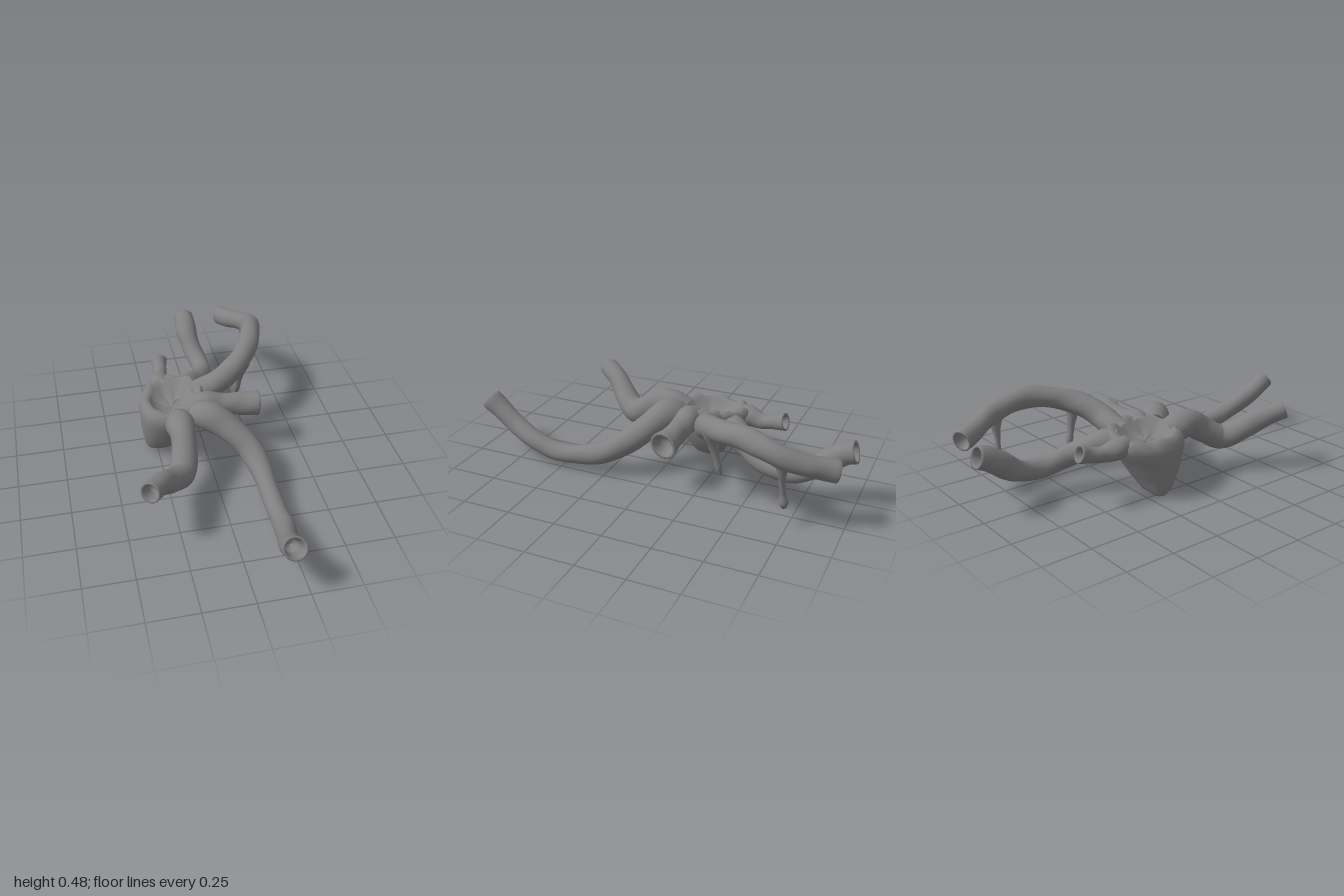
import * as THREE from 'three';

const SIDES = 24;
const material = new THREE.MeshStandardMaterial({ color: 0x808080, side: THREE.DoubleSide });

// Skin a list of closed rings (each an array of SIDES points) into a smooth mesh.
function loft(name, rings) {
  const positions = [], index = [];
  for (const ring of rings) for (const p of ring) positions.push(p.x, p.y, p.z);
  for (let j = 0; j < rings.length - 1; j++) {
    for (let i = 0; i < SIDES; i++) {
      const a = j * SIDES + i, b = j * SIDES + (i + 1) % SIDES;
      const c = b + SIDES, d = a + SIDES;
      index.push(a, b, d, b, c, d);
    }
  }
  const geometry = new THREE.BufferGeometry();
  geometry.setAttribute('position', new THREE.Float32BufferAttribute(positions, 3));
  geometry.setIndex(index);
  geometry.computeVertexNormals();
  const mesh = new THREE.Mesh(geometry, material);
  mesh.name = name;
  return mesh;
}

// Tapering branch along stations [x, y, z, radius]; its root is open, its tip hollow or rounded.
function branch(name, stations, hollow = true) {
  const curve = new THREE.CatmullRomCurve3(stations.map(s => new THREE.Vector3(s[0], s[1], s[2])));
  const radii = new THREE.SplineCurve(stations.map((s, i) => new THREE.Vector2(i, s[3])));
  const steps = stations.length * 6;
  const frames = curve.computeFrenetFrames(steps, false);
  const ringAt = (k, scale) => {
    const u = k / steps, centre = curve.getPointAt(u);
    const r = radii.getPoint(curve.getUtoTmapping(u)).y * scale;
    return Array.from({ length: SIDES }, (_, i) => {
      const a = i / SIDES * Math.PI * 2;
      const rr = r * (1 + 0.045 * Math.sin(2 * a + k * 0.12) * Math.sin(k * 0.37));
      return centre.clone()
        .addScaledVector(frames.normals[k], Math.cos(a) * rr)
        .addScaledVector(frames.binormals[k], Math.sin(a) * rr);
    });
  };
  const rings = [];
  for (let k = 0; k <= steps; k++) rings.push(ringAt(k, 1));
  if (hollow) {
    // thin lip, then the bore running back inside
    rings.push(ringAt(steps, 0.9), ringAt(steps, 0.8));
    for (let k = 1; k <= 5; k++) rings.push(ringAt(steps - k, 0.78 - k * 0.04));
    rings.push(ringAt(steps - 6, 0.01));
  } else {
    rings.push(ringAt(steps, 0.6), ringAt(steps, 0.01));
  }
  return loft(name, rings);
}

// Lopsided bowl: sections are [y, xMin, xMax, zMin, zMax], folding over the rim into a dish.
function bowl() {
  const outer = [
    [0.0, -0.275, -0.265, -0.195, -0.185],
    [0.008, -0.295, -0.225, -0.215, -0.15],
    [0.03, -0.31, -0.14, -0.24, -0.115],
    [0.06, -0.315, -0.09, -0.255, -0.085],
    [0.1, -0.322, -0.06, -0.28, -0.06],
    [0.15, -0.328, -0.035, -0.31, -0.035],
    [0.2, -0.33, -0.02, -0.34, -0.015],
    [0.25, -0.333, -0.005, -0.375, 0.0],
    [0.29, -0.325, 0.005, -0.385, 0.0],
    [0.315, -0.305, 0.0, -0.37, -0.015],
  ];
  const dish = [
    [0.32, -0.285, -0.015, -0.35, -0.035],
    [0.305, -0.27, -0.035, -0.325, -0.055],
    [0.275, -0.25, -0.06, -0.29, -0.08],
    [0.255, -0.21, -0.1, -0.245, -0.12],
    [0.25, -0.156, -0.154, -0.186, -0.184],
  ];
  const rings = [...outer, ...dish].map(([y, x0, x1, z0, z1]) => {
    const high = THREE.MathUtils.smoothstep(y, 0.2, 0.31);
    return Array.from({ length: SIDES }, (_, i) => {
      const a = i / SIDES * Math.PI * 2;
      const s = Math.sin(a), c = Math.cos(a);
      const scallop = 1 + 0.03 * high * Math.cos(8 * a) + 0.03 * Math.sin(2 * a) ** 2;
      // the rim is higher on the +x side and gently wavy
      const lift = high * (0.018 * s + 0.01 * Math.cos(8 * a));
      return new THREE.Vector3(
        (x0 + x1) / 2 + (x1 - x0) / 2 * s * scallop,
        y + lift,
        (z0 + z1) / 2 + (z1 - z0) / 2 * c * scallop);
    });
  });
  return loft('bowlBody', rings);
}

export function createModel() {
  const group = new THREE.Group();
  group.name = 'branchingBowl';
  group.add(bowl());

  // Long front branch, sagging low and rising to its open end
  group.add(branch('frontLeftBranch', [
    [-0.06, 0.275, -0.06, 0.065], [0.0, 0.29, -0.01, 0.08], [0.09, 0.25, 0.06, 0.068],
    [0.17, 0.185, 0.14, 0.063], [0.212, 0.12, 0.25, 0.058], [0.222, 0.078, 0.4, 0.05],
    [0.225, 0.073, 0.55, 0.049], [0.215, 0.108, 0.68, 0.051], [0.188, 0.165, 0.81, 0.05],
    [0.172, 0.225, 0.9, 0.053], [0.17, 0.27, 0.962, 0.057]]));

  // Shorter front branch with a raised shoulder and a deep sag
  group.add(branch('frontRightBranch', [
    [-0.15, 0.26, -0.05, 0.06], [-0.155, 0.28, 0.02, 0.072], [-0.155, 0.285, 0.09, 0.067],
    [-0.163, 0.23, 0.18, 0.066], [-0.195, 0.178, 0.275, 0.066], [-0.265, 0.225, 0.37, 0.06],
    [-0.33, 0.285, 0.45, 0.054], [-0.39, 0.322, 0.54, 0.049]]));

  // Stubby side branch
  group.add(branch('leftStub', [
    [-0.05, 0.28, -0.13, 0.058], [0.01, 0.285, -0.12, 0.066], [0.1, 0.275, -0.115, 0.056],
    [0.2, 0.265, -0.108, 0.06], [0.288, 0.26, -0.102, 0.068]]));

  // High arching back branch
  group.add(branch('backLeftBranch', [
    [-0.05, 0.275, -0.235, 0.055], [0.02, 0.29, -0.245, 0.062], [0.12, 0.325, -0.26, 0.062],
    [0.21, 0.37, -0.31, 0.06], [0.29, 0.4, -0.4, 0.056], [0.345, 0.42, -0.52, 0.056],
    [0.375, 0.405, -0.63, 0.055], [0.378, 0.375, -0.72, 0.053], [0.345, 0.345, -0.81, 0.052],
    [0.305, 0.32, -0.885, 0.052], [0.275, 0.305, -0.95, 0.053]]));

  // Low back branch
  group.add(branch('backMiddleBranch', [
    [-0.09, 0.265, -0.3, 0.055], [-0.05, 0.255, -0.35, 0.064], [0.01, 0.225, -0.42, 0.058],
    [0.065, 0.18, -0.51, 0.054], [0.092, 0.15, -0.62, 0.052], [0.092, 0.152, -0.71, 0.052],
    [0.07, 0.19, -0.8, 0.055], [0.056, 0.25, -0.88, 0.06], [0.055, 0.29, -0.94, 0.058],
    [0.055, 0.303, -0.985, 0.056]]));

  // Small back branch
  group.add(branch('backRightStub', [
    [-0.19, 0.275, -0.33, 0.05], [-0.19, 0.27, -0.38, 0.054], [-0.178, 0.258, -0.45, 0.04],
    [-0.17, 0.268, -0.52, 0.038], [-0.163, 0.285, -0.58, 0.045]]));

  // Drips hanging from the high branch
  group.add(branch('innerDrip', [
    [0.258, 0.38, -0.335, 0.045], [0.252, 0.31, -0.345, 0.028], [0.245, 0.24, -0.36, 0.018],
    [0.24, 0.18, -0.373, 0.018], [0.238, 0.145, -0.38, 0.011]], false));
  group.add(branch('outerDrip', [
    [0.372, 0.37, -0.72, 0.045], [0.365, 0.305, -0.72, 0.026], [0.357, 0.24, -0.72, 0.015],
    [0.345, 0.17, -0.725, 0.015], [0.338, 0.125, -0.728, 0.023], [0.333, 0.1, -0.73, 0.014]], false));

  return group;
}
